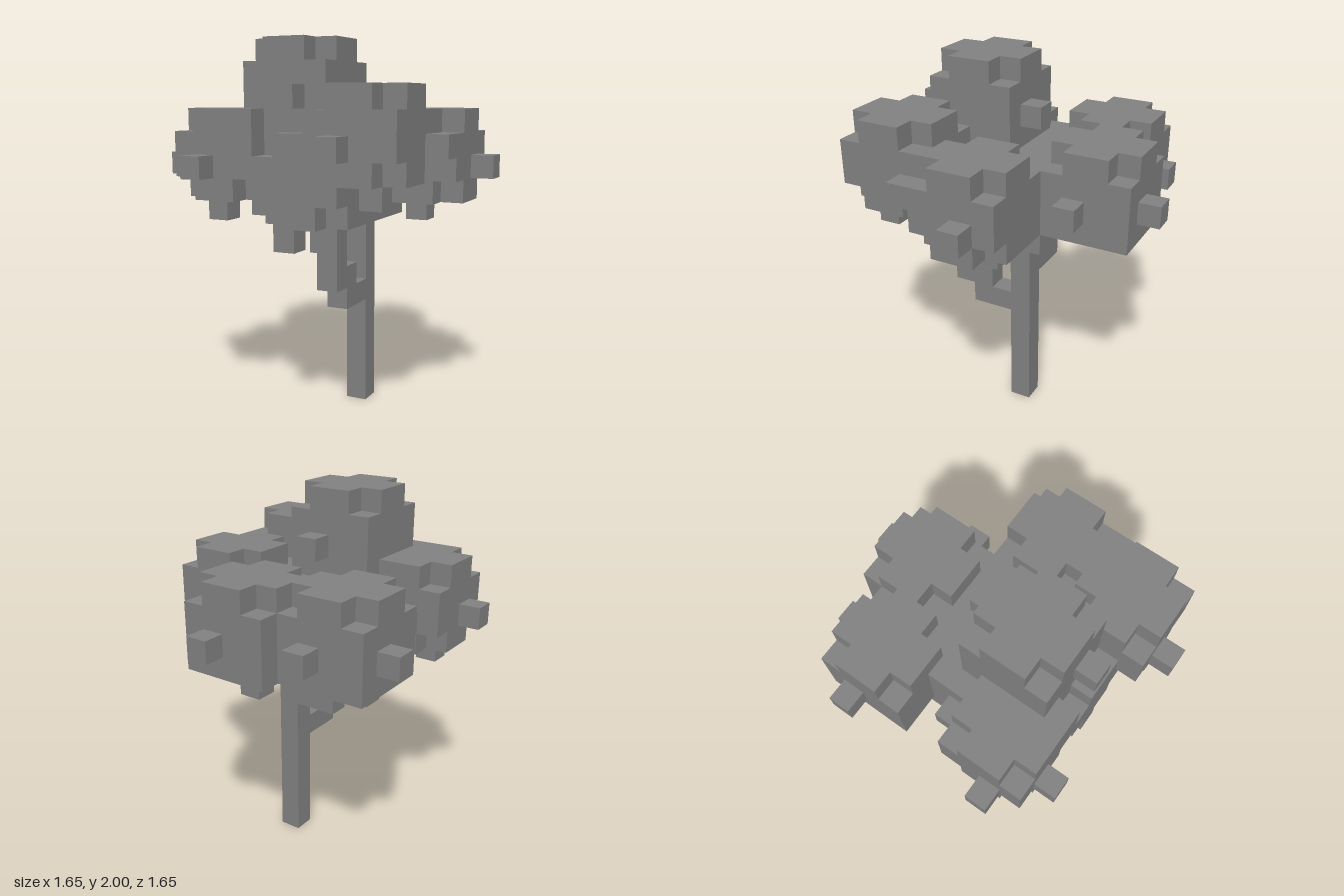
import * as THREE from 'three';

const U = 2 / 17; // edge of one cube

// Set of grid cells, each named by its lowest corner
class Cells {
  constructor() { this.map = new Map(); }
  add(x, y, z) { this.map.set(`${x},${y},${z}`, [x, y, z]); }
  has(x, y, z) { return this.map.has(`${x},${y},${z}`); }
  box([x, y, z], [w, h, d], skip = () => false) {
    for (let i = 0; i < w; i++)
      for (let j = 0; j < h; j++)
        for (let k = 0; k < d; k++)
          if (!skip(i, j, k)) this.add(x + i, y + j, z + k);
    return this;
  }
}

// Only the outer faces of the cells become surface
function cellMesh(name, cells, material) {
  const pos = [], nor = [];
  for (const c of cells.map.values()) {
    for (let a = 0; a < 3; a++) {
      for (const s of [-1, 1]) {
        const n = [0, 0, 0];
        n[a] = s;
        if (cells.has(c[0] + n[0], c[1] + n[1], c[2] + n[2])) continue;
        const b = (a + 1) % 3, d = (a + 2) % 3;
        const corner = (p, q) => {
          const v = [...c];
          v[a] += s > 0 ? 1 : 0;
          v[b] += p;
          v[d] += q;
          return v.map((t) => t * U);
        };
        const loop = [corner(0, 0), corner(1, 0), corner(1, 1), corner(0, 1)];
        if (s < 0) loop.reverse();
        for (const i of [0, 1, 2, 0, 2, 3]) {
          pos.push(...loop[i]);
          nor.push(...n);
        }
      }
    }
  }
  const g = new THREE.BufferGeometry();
  g.setAttribute('position', new THREE.Float32BufferAttribute(pos, 3));
  g.setAttribute('normal', new THREE.Float32BufferAttribute(nor, 3));
  const mesh = new THREE.Mesh(g, material);
  mesh.name = name;
  return mesh;
}

// Leaf clumps: 4x4x4 blocks without their corners, or only without the top ones
const end = (t) => t === 0 || t === 3;
const roundClump = (cells, at) =>
  cells.box(at, [4, 4, 4], (i, j, k) => end(i) && end(j) && end(k));
const flatClump = (cells, at) =>
  cells.box(at, [4, 4, 4], (i, j, k) => end(i) && j === 3 && end(k));

export function createModel() {
  const tree = new THREE.Group();
  tree.name = 'tree';
  const material = new THREE.MeshStandardMaterial({ color: 0x808080, flatShading: true });

  // Trunk
  const trunk = new Cells().box([0, 0, -1], [1, 9, 1]);
  tree.add(cellMesh('trunk', trunk, material));

  // Branch stepping out to the front
  const front = new Cells()
    .box([0, 5, 0], [1, 1, 2])
    .box([0, 6, 1], [1, 1, 2])
    .box([0, 7, 2], [1, 2, 1]);
  tree.add(cellMesh('frontBranch', front, material));

  // Branch stepping out to the side
  const side = new Cells()
    .box([-2, 7, -1], [2, 1, 1])
    .box([-2, 8, -1], [1, 1, 1]);
  tree.add(cellMesh('sideBranch', side, material));

  // Foliage: clumps around a solid core
  const leaves = new Cells().box([-4, 9, -2], [6, 4, 4]);
  flatClump(leaves, [-3, 13, 0]);  // crown
  flatClump(leaves, [-6, 10, -5]); // back right
  flatClump(leaves, [-2, 10, -6]); // back
  roundClump(leaves, [2, 10, -2]); // left
  roundClump(leaves, [1, 11, 2]);  // front left
  roundClump(leaves, [-6, 10, 1]); // front right
  roundClump(leaves, [-2, 9, 1]);  // lower front

  // Corners filled where clumps meet
  leaves.add(-3, 13, 4);
  leaves.add(2, 10, -2);

  // Single leaf cubes standing out of the clumps
  const tufts = [
    [-1, 14, -1], [-1, 14, 4],
    [-4, 11, -6], [-7, 11, -4], [-5, 9, -3],
    [0, 11, -7], [2, 11, -4], [-1, 9, -5],
    [6, 11, -1], [3, 9, -1],
    [2, 12, 6], [5, 12, 2], [3, 10, 4],
    [-7, 11, 3], [-5, 11, 5], [-5, 11, 0], [-5, 9, 3],
    [-1, 8, 4],
  ];
  for (const t of tufts) leaves.add(...t);
  tree.add(cellMesh('foliage', leaves, material));

  return tree;
}
